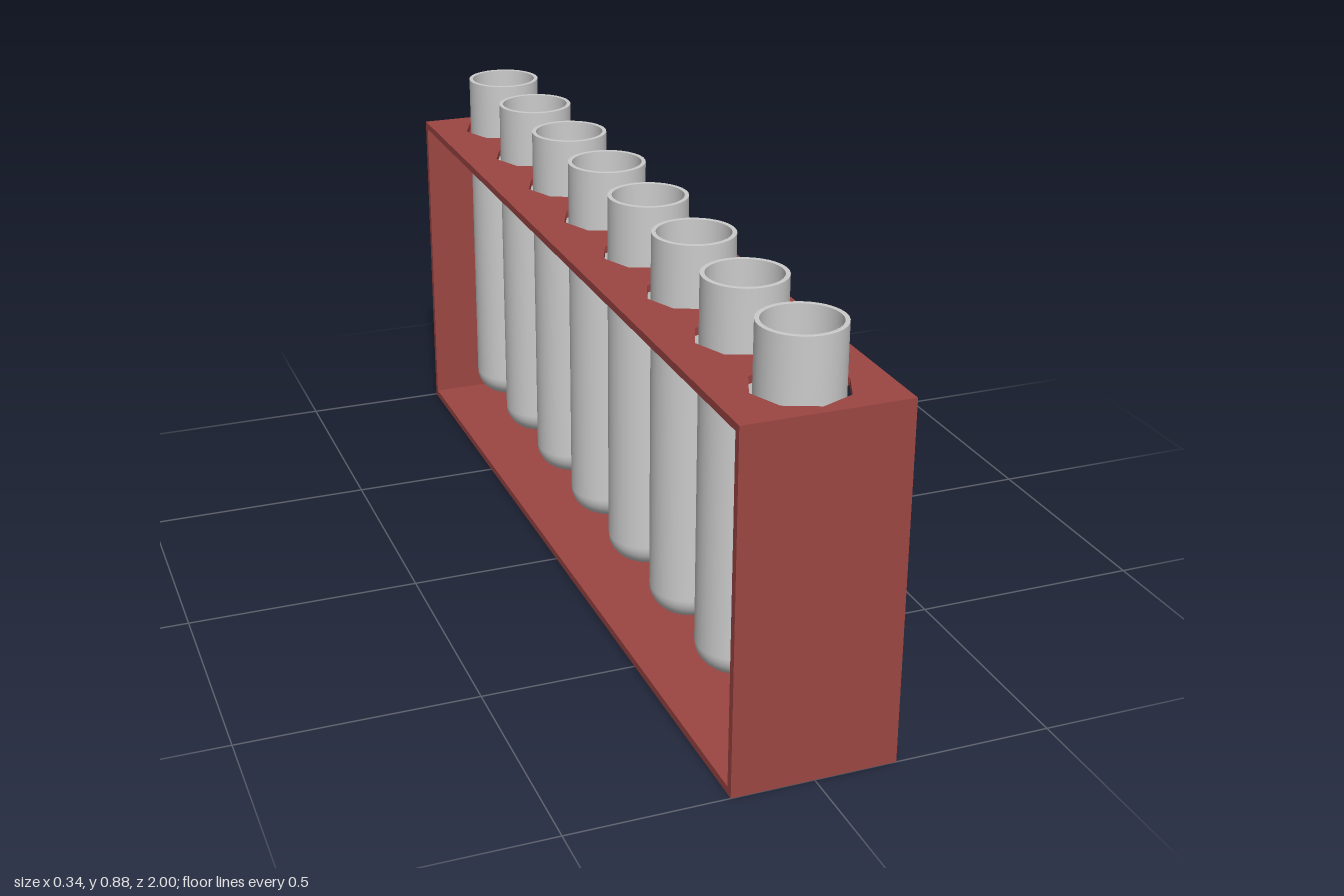
import * as THREE from 'three';

const COUNT = 8, PITCH = 0.2505;
const W = 0.342, H = 0.755, L = 2, T = 0.016;
const slotZ = (i) => (i - (COUNT - 1) / 2) * PITCH;

// Closed profile of a thin tube with a rounded bottom
function tubeGeometry() {
  const R = 0.085, r = 0.076, bottom = 0.045, top = 0.883;
  const pts = [new THREE.Vector2(0, bottom)];
  const arc = (radius, corner, y0, k) => {
    const a = (k / 8) * Math.PI / 2;
    return new THREE.Vector2(radius - corner + corner * Math.sin(a), y0 + corner - corner * Math.cos(a));
  };
  for (let k = 0; k <= 8; k++) pts.push(arc(R, 0.055, bottom, k));
  // doubled points keep the rim crisp
  pts.push(new THREE.Vector2(R, top - 0.001), new THREE.Vector2(R, top));
  pts.push(new THREE.Vector2(r, top), new THREE.Vector2(r, top - 0.001));
  for (let k = 8; k >= 0; k--) pts.push(arc(r, 0.05, bottom + 0.009, k));
  pts.push(new THREE.Vector2(0, bottom + 0.009));
  return new THREE.LatheGeometry(pts, 32);
}

// Plate with a row of octagonal holes
function topPlateGeometry() {
  const shape = new THREE.Shape([[-1, -1], [1, -1], [1, 1], [-1, 1]]
    .map(([x, y]) => new THREE.Vector2(x * W / 2, y * L / 2)));
  for (let i = 0; i < COUNT; i++) {
    const pts = [];
    for (let k = 0; k < 8; k++) {
      const a = -k * Math.PI / 4;
      pts.push(new THREE.Vector2(0.099 * Math.cos(a), slotZ(i) + 0.099 * Math.sin(a)));
    }
    shape.holes.push(new THREE.Path(pts));
  }
  const geo = new THREE.ExtrudeGeometry(shape, { depth: T, bevelEnabled: false });
  return geo.rotateX(-Math.PI / 2).translate(0, H - T, 0);
}

export function createModel() {
  const model = new THREE.Group();
  const red = new THREE.MeshStandardMaterial({ color: 0x9c4643 });
  const grey = new THREE.MeshStandardMaterial({ color: 0xcccccc });
  const add = (parent, name, geo, mat, x = 0, y = 0, z = 0) => {
    const mesh = new THREE.Mesh(geo, mat);
    mesh.name = name;
    mesh.position.set(x, y, z);
    parent.add(mesh);
  };

  // Open-sided rack
  const rack = new THREE.Group();
  rack.name = 'rack';
  add(rack, 'topPlate', topPlateGeometry(), red);
  add(rack, 'basePlate', new THREE.BoxGeometry(W, T, L), red, 0, T / 2, 0);
  const wall = new THREE.BoxGeometry(W, H - 2 * T, T);
  add(rack, 'frontWall', wall, red, 0, H / 2, (L - T) / 2);
  add(rack, 'backWall', wall, red, 0, H / 2, -(L - T) / 2);
  model.add(rack);

  // Row of test tubes
  const tubes = new THREE.Group();
  tubes.name = 'testTubes';
  const tube = tubeGeometry();
  for (let i = 0; i < COUNT; i++) add(tubes, `testTube${i + 1}`, tube, grey, 0, 0, slotZ(i));
  model.add(tubes);
  return model;
}
